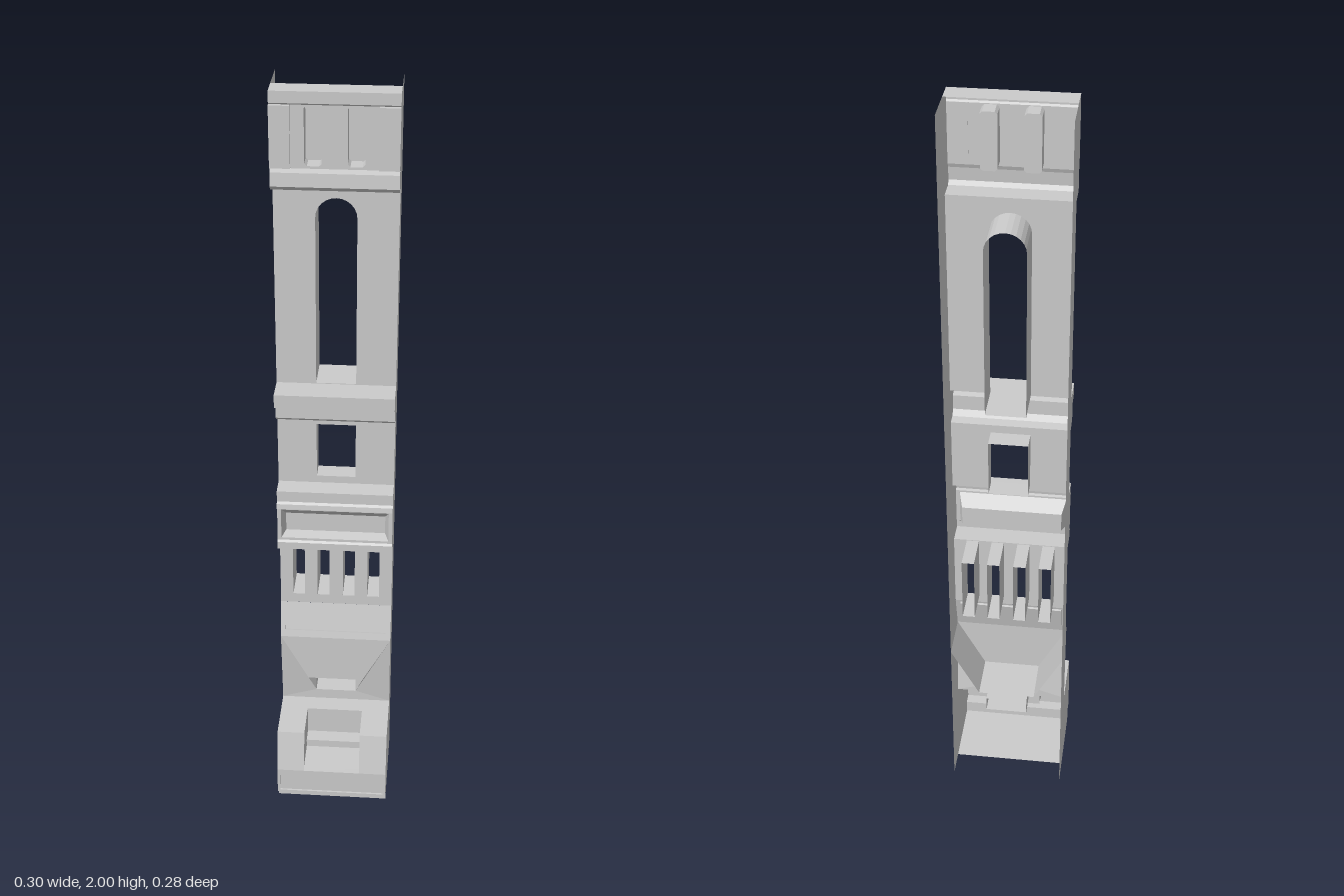
import * as THREE from 'three';

const W = 0.15, FACE = -0.04, BACK = -0.14;
const mat = new THREE.MeshStandardMaterial({ color: 0xcccccc, flatShading: true, side: THREE.DoubleSide });

// Four-cornered faces from lists of [x, y, z]
function quads(name, faces) {
  const pos = [];
  for (const [a, b, c, d] of faces) pos.push(...a, ...b, ...c, ...a, ...c, ...d);
  const g = new THREE.BufferGeometry();
  g.setAttribute('position', new THREE.Float32BufferAttribute(pos, 3));
  g.computeVertexNormals();
  const m = new THREE.Mesh(g, mat);
  m.name = name;
  return m;
}

// A [z, y] profile swept across the width
function strip(name, profile, x0 = -W, x1 = W) {
  const faces = [];
  for (let i = 0; i < profile.length - 1; i++) {
    const [z0, y0] = profile[i], [z1, y1] = profile[i + 1];
    faces.push([[x0, y0, z0], [x1, y0, z0], [x1, y1, z1], [x0, y1, z1]]);
  }
  return quads(name, faces);
}

// An [x, y] outline swept in depth
function reveal(name, pts, z0, z1, closed = true) {
  const faces = [];
  const n = closed ? pts.length : pts.length - 1;
  for (let i = 0; i < n; i++) {
    const [ax, ay] = pts[i], [bx, by] = pts[(i + 1) % pts.length];
    faces.push([[ax, ay, z0], [bx, by, z0], [bx, by, z1], [ax, ay, z1]]);
  }
  return quads(name, faces);
}

const rect = (x0, x1, y0, y1) => [[x0, y0], [x1, y0], [x1, y1], [x0, y1]];
const toVecs = pts => pts.map(([x, y]) => new THREE.Vector2(x, y));

// Flat sheet with holes
function sheet(name, outline, holes, z) {
  const s = new THREE.Shape(toVecs(outline));
  for (const h of holes) s.holes.push(new THREE.Path(toVecs(h)));
  const m = new THREE.Mesh(new THREE.ShapeGeometry(s), mat);
  m.name = name;
  m.position.z = z;
  return m;
}

// Sheet whose holes have deep sides; closed holes get a back
function pierced(name, outline, holes, z, zBack, closedBack = false) {
  const g = new THREE.Group();
  g.name = name;
  g.add(sheet(name + 'Face', outline, holes, z));
  for (const h of holes) {
    g.add(reveal(name + 'Reveal', h, z, zBack));
    if (closedBack) g.add(sheet(name + 'Back', h, [], zBack));
  }
  return g;
}

export function createModel() {
  const model = new THREE.Group();

  // Moulding profiles, [z, y], bottom to top
  const plinthFoot = [[-0.07, 0], [0.11, 0], [0.11, 0.035], [0.14, 0.035]];
  const blockTop = [[0.14, 0.115], [0.115, 0.23], [FACE, 0.23]];
  const sillLow = [[FACE, 0.77], [0.015, 0.77], [0.015, 0.79], [0.01, 0.795]];
  const sillHigh = [[0.01, 0.893], [0.018, 0.895], [0.016, 0.908], [0.01, 0.913], [0.01, 0.943], [FACE, 0.945]];
  const cornice = [[FACE, 1.14], [-0.015, 1.143], [0, 1.155], [0, 1.195], [0.03, 1.2], [0.03, 1.235], [FACE, 1.235]];
  const friezeLow = [[FACE, 1.765], [0.01, 1.765], [0.018, 1.775], [0.015, 1.808], [0.011, 1.818]];
  const friezeCap = [[0.011, 1.968], [0.015, 1.972], [0.015, 2], [FACE, 2]];

  // Side walls follow every moulding
  const outline = [[BACK, 0], ...plinthFoot.slice(1), ...blockTop, [-0.015, 0.46], [FACE, 0.56],
    ...sillLow, ...sillHigh, ...cornice, ...friezeLow, ...friezeCap.slice(0, 3), [BACK, 2]];
  for (const x of [-W, W]) {
    const side = sheet('sideWall', outline, [], 0);
    side.geometry.rotateY(-Math.PI / 2);
    side.position.x = x;
    model.add(side);
  }

  // Base: plinth with framed panel, two blocks and a stepped seat
  model.add(strip('plinthFoot', plinthFoot));
  model.add(pierced('plinthPanel', rect(-W, W, 0.035, 0.115), [rect(-0.143, 0.143, 0.042, 0.11)], 0.14, 0.135, true));
  const seat = [[0.14, 0.115], [0.135, 0.128], [0.05, 0.128], [0.05, 0.15], [0.01, 0.15], [0.01, 0.23]];
  model.add(strip('seat', [...seat, [FACE, 0.23]], -0.076, 0.076));
  for (const s of [-1, 1]) {
    model.add(strip('baseBlock', blockTop, s * 0.076, s * W));
    const cheek = sheet('blockCheek', [...seat, [0.115, 0.23]], [], 0);
    cheek.geometry.rotateY(-Math.PI / 2);
    cheek.position.x = s * 0.076;
    model.add(cheek);
  }

  // Hopper: tapering front, slanted flanks and a small opening
  const mirror = s => [[s * W, 0.46, -0.015], [s * 0.075, 0.32, -0.015], [s * 0.055, 0.3, FACE],
    [s * 0.055, 0.26, FACE], [s * W, 0.23, FACE]];
  const [l, r] = [mirror(-1), mirror(1)];
  model.add(quads('hopper', [
    [l[1], r[1], r[0], l[0]],
    [l[2], r[2], r[1], l[1]],
    [l[4], r[4], r[3], l[3]],
    ...[l, r].flatMap(p => [[p[0], p[1], p[3], p[4]], [p[1], p[2], p[3], p[3]]]),
  ]));
  model.add(reveal('hopperSides', [[-W, 0.46], [-0.075, 0.32], [0.075, 0.32], [W, 0.46]], -0.015, BACK, false));
  model.add(reveal('hopperOpening', rect(-0.055, 0.055, 0.26, 0.3), FACE, BACK));

  // Sloped panel above the hopper
  const slope = pierced('slopedPanel', rect(-W, W, 0, 0.103), [rect(-0.137, 0.137, 0.02, 0.097)], 0, -0.006, true);
  slope.position.set(0, 0.46, -0.015);
  slope.rotation.x = -Math.atan(0.25);
  model.add(slope);

  // Grille wall
  const slots = [-0.1, -0.034, 0.034, 0.1].map(x => rect(x - 0.016, x + 0.016, 0.588, 0.768));
  model.add(pierced('grille', rect(-W, W, 0.56, 0.77), slots, FACE, -0.135));

  // Sill box with a recessed panel
  model.add(strip('sillLower', sillLow));
  model.add(strip('sillUpper', sillHigh));
  model.add(sheet('sillFrame', rect(-W, W, 0.795, 0.893), [rect(-0.14, 0.14, 0.802, 0.888)], 0.01));
  const outer = rect(-0.14, 0.14, 0.802, 0.888), inner = rect(-0.13, 0.13, 0.808, 0.86);
  model.add(quads('sillRecess', outer.map((p, i) => {
    const j = (i + 1) % 4;
    return [[...p, 0.01], [...outer[j], 0.01], [...inner[j], -0.02], [...inner[i], -0.02]];
  })));
  model.add(sheet('sillPanel', inner, [], -0.02));

  // Window wall and cornice
  model.add(pierced('windowWall', rect(-W, W, 0.945, 1.14), [rect(-0.05, 0.05, 0.965, 1.118)], FACE, -0.09));
  model.add(strip('cornice', cornice));

  // Tall arched opening
  const arch = [[-0.05, 1.237], [0.05, 1.237]];
  for (let i = 0; i <= 12; i++) {
    const a = Math.PI * i / 12;
    arch.push([0.05 * Math.cos(a), 1.678 + 0.05 * Math.sin(a)]);
  }
  model.add(pierced('archWall', rect(-W, W, 1.235, 1.765), [arch], FACE, BACK));

  // Frieze with two recesses, end blocks and cap
  model.add(strip('friezeMoulding', friezeLow));
  const niches = [-0.05, 0.05].map(x => {
    const a = x - 0.02, b = x + 0.02, c = 0.006;
    return [[a, 1.824 + c], [a + c, 1.824], [b - c, 1.824], [b, 1.824 + c],
      [b, 1.966 - c], [b - c, 1.966], [a + c, 1.966], [a, 1.966 - c]];
  });
  model.add(pierced('frieze', rect(-W, W, 1.818, 1.968), niches, 0.011, -0.03, true));
  for (const s of [-1, 1]) {
    const block = new THREE.Mesh(new THREE.BoxGeometry(0.048, 0.148, 0.011), mat);
    block.name = 'friezeEndBlock';
    block.position.set(s * 0.126, 1.894, 0.0155);
    model.add(block);
  }
  model.add(strip('friezeCap', friezeCap));

  return model;
}
